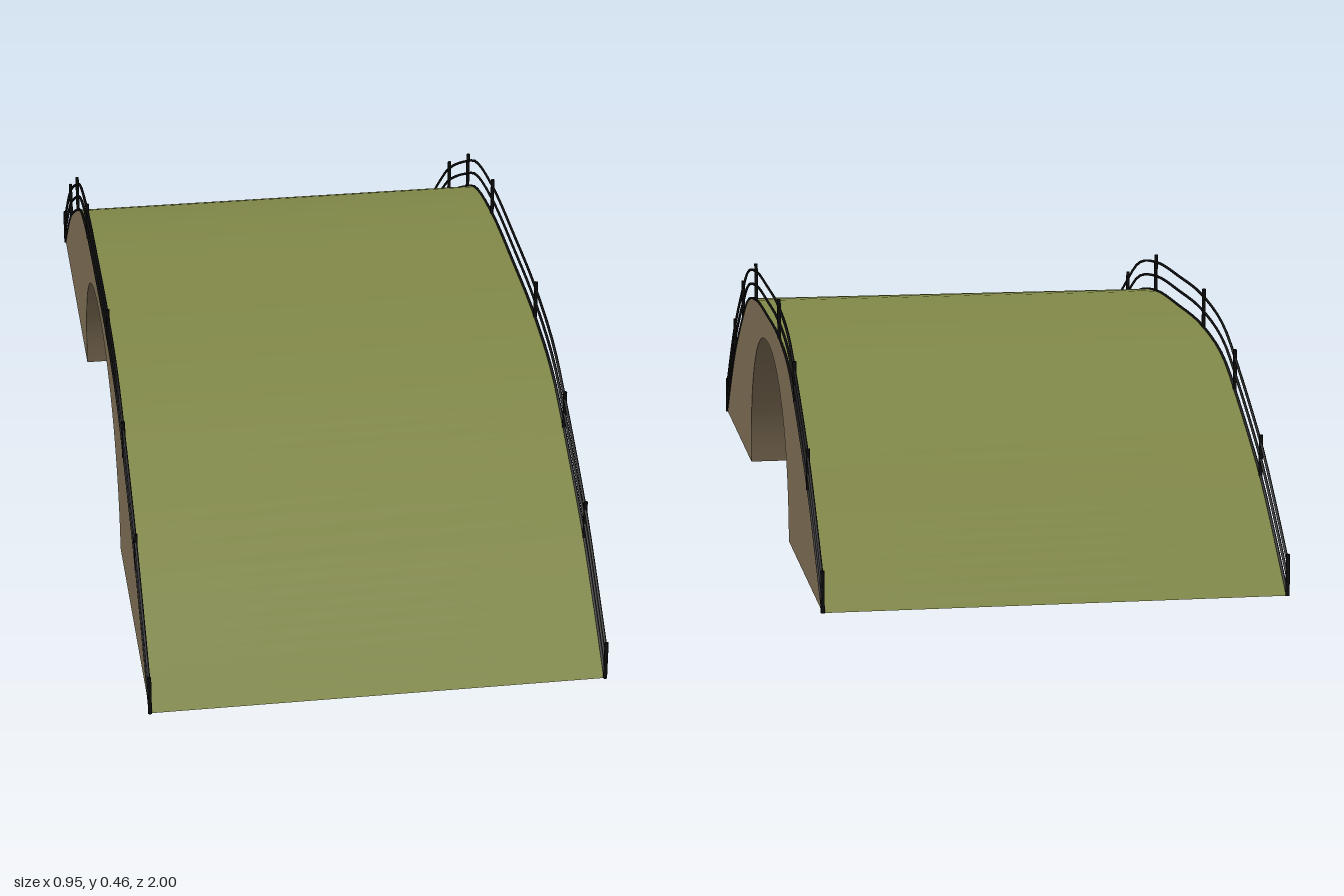
import * as THREE from 'three';

const HALF_WIDTH = 0.428;
const HALF_LENGTH = 0.976;

// Half of the deck profile as [z, y], mirrored into a full curve
const half = [[HALF_LENGTH, 0], [0.865, 0.092], [0.755, 0.175], [0.545, 0.292], [0.42, 0.348], [0.225, 0.378], [0, 0.382]];
const profile = [...half.map(([z, y]) => [-z, y]), ...half.slice(0, -1).reverse()];
const deckCurve = new THREE.CatmullRomCurve3(profile.map(([z, y]) => new THREE.Vector3(0, y, z)));
const deckPoints = deckCurve.getPoints(60);

// Full-bodied arch of the tunnel, running from +z to -z
const archPoints = [];
for (let i = 0; i <= 48; i++) {
  const a = (Math.PI * i) / 48;
  const c = Math.cos(a);
  archPoints.push(new THREE.Vector3(
    0,
    i % 48 === 0 ? 0 : 0.328 * Math.pow(Math.sin(a), 0.9),
    0.39 * Math.sign(c) * Math.pow(Math.abs(c), 0.93)
  ));
}

// Sheet spanning the bridge width along a row of points
function sheet(points) {
  const geo = new THREE.PlaneGeometry(HALF_WIDTH * 2, 1, 1, points.length - 1);
  const pos = geo.attributes.position;
  for (let i = 0; i < pos.count; i++) {
    const p = points[Math.floor(i / 2)];
    pos.setXYZ(i, pos.getX(i), p.y, p.z);
  }
  geo.computeVertexNormals();
  return geo;
}

// Height of the deck at a given z
function deckHeight(z) {
  for (let i = 1; i < deckPoints.length; i++) {
    const a = deckPoints[i - 1], b = deckPoints[i];
    if (z <= b.z) return THREE.MathUtils.lerp(a.y, b.y, (z - a.z) / (b.z - a.z));
  }
  return 0;
}

export function createModel() {
  const model = new THREE.Group();
  model.name = 'archBridge';
  const bridge = new THREE.Group();
  bridge.name = 'bridge';
  bridge.rotation.y = -0.045; // the bridge stands slightly askew
  model.add(bridge);

  const green = new THREE.MeshStandardMaterial({ color: 0x818848, side: THREE.DoubleSide });
  green.name = 'mossGreen';
  const brown = new THREE.MeshStandardMaterial({ color: 0x75664f, side: THREE.DoubleSide });
  brown.name = 'stoneBrown';
  const black = new THREE.MeshStandardMaterial({ color: 0x0c0c0c });
  black.name = 'railBlack';

  const add = (geo, mat, name, parent = bridge) => {
    const mesh = new THREE.Mesh(geo, mat);
    mesh.name = name;
    parent.add(mesh);
    return mesh;
  };

  // Curved deck and tunnel vault; the body is hollow and open underneath
  add(sheet(deckPoints), green, 'deck');
  add(sheet(archPoints), brown, 'vault');

  // Side wall outline: over the deck, then back along the arch
  const wallShape = new THREE.Shape(
    [...deckPoints, ...archPoints].map((p) => new THREE.Vector2(-p.z, p.y))
  );

  const postGeo = new THREE.CylinderGeometry(0.004, 0.004, 0.078, 6);
  const postZ = [-0.976, -0.75, -0.525, -0.24, 0.235, 0.54, 0.755, 0.976];

  for (const side of [-1, 1]) {
    const label = side > 0 ? 'left' : 'right';
    const wallGeo = new THREE.ShapeGeometry(wallShape);
    wallGeo.rotateY(Math.PI / 2);
    add(wallGeo, brown, label + 'Wall').position.x = side * HALF_WIDTH;

    // Railing: kerb rail, two hand rails and posts
    const railing = new THREE.Group();
    railing.name = label + 'Railing';
    railing.position.x = side * HALF_WIDTH;
    bridge.add(railing);
    for (const [name, height] of [['kerbRail', 0.001], ['middleRail', 0.032], ['topRail', 0.062]]) {
      const tube = new THREE.TubeGeometry(deckCurve, 48, 0.0028, 6);
      add(tube, black, name, railing).position.y = height;
    }
    for (const z of postZ) {
      add(postGeo, black, 'post', railing).position.set(0, deckHeight(z) + 0.039, z);
    }
  }
  return model;
}
